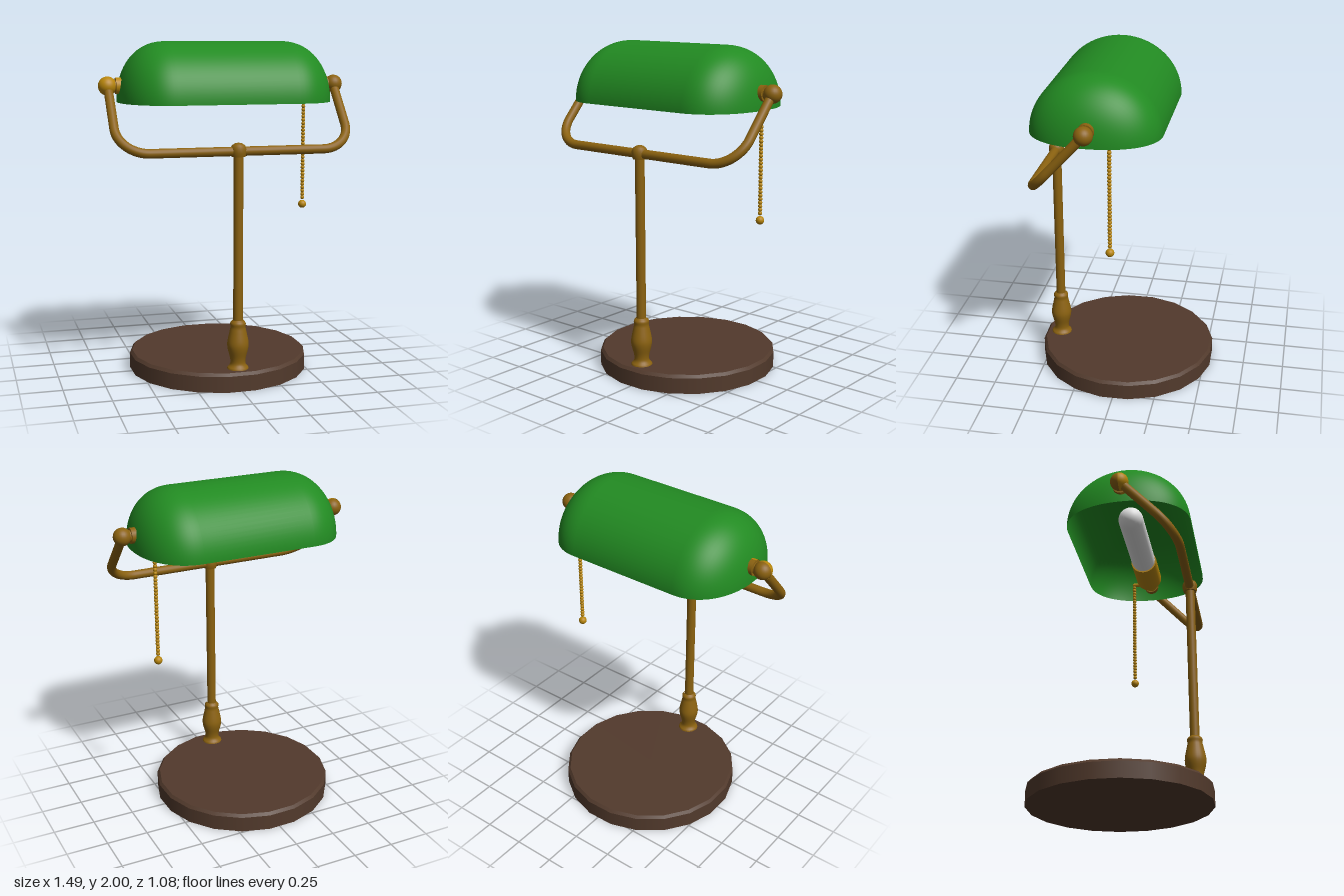
import * as THREE from 'three';

const mat = (name, color, side = THREE.FrontSide) => {
  const m = new THREE.MeshStandardMaterial({ color, side });
  m.name = name;
  return m;
};
const V2 = (x, y) => new THREE.Vector2(x, y);
const V3 = (x, y, z) => new THREE.Vector3(x, y, z);

export function createModel() {
  const model = new THREE.Group();
  model.name = 'deskLamp';
  const wood = mat('dark wood', 0x523a2c);
  const brass = mat('brass', 0x8b6210);
  const lightBrass = mat('light brass', 0xb8860b, THREE.DoubleSide);
  const green = mat('green glass', 0x228b22, THREE.DoubleSide);
  const white = mat('white bulb', 0xe6e6e6);

  const add = (name, geo, material, x = 0, y = 0, z = 0) => {
    const mesh = new THREE.Mesh(geo, material);
    mesh.name = name;
    mesh.position.set(x, y, z);
    model.add(mesh);
    return mesh;
  };
  // lathe from [radius, height] pairs
  const lathe = (pts, sides, start = 0) =>
    new THREE.LatheGeometry(pts.map(p => V2(p[0], p[1])), sides, start);

  const stemZ = 0.44, barY = 1.385;      // stem and yoke bar
  const pivotY = 1.746, pivotZ = 0.114;  // shade pivots
  const rimY = 1.65;

  // Round base: 20 sides with a small bevel; doubled points keep the edges crisp
  add('base', lathe([
    [0, 0], [0.545, 0], [0.545, 0], [0.545, 0.095], [0.545, 0.095],
    [0.53, 0.112], [0.53, 0.112], [0, 0.112],
  ], 20, THREE.MathUtils.degToRad(10)), wood, -0.008);

  // Turned foot and stem
  const turned = new THREE.SplineCurve([
    V2(0.062, 0.118), V2(0.045, 0.14), V2(0.046, 0.175), V2(0.06, 0.23), V2(0.062, 0.27),
    V2(0.05, 0.33), V2(0.044, 0.36), V2(0.045, 0.385), V2(0.03, 0.402),
  ]).getPoints(32);
  add('turnedFoot', new THREE.LatheGeometry([V2(0.064, 0.108), ...turned], 24), brass, 0, 0, stemZ);
  add('stem', new THREE.CylinderGeometry(0.028, 0.028, 1.0, 20), brass, 0, 0.88, stemZ);
  add('stemCollar', lathe([
    [0.028, -0.03], [0.04, -0.03], [0.04, -0.03], [0.045, -0.01], [0.046, 0.015],
    [0.038, 0.034], [0.02, 0.046], [0, 0.049],
  ], 20), brass, 0, barY, stemZ);

  // Tilted yoke: bar with rounded corners and two arms reaching back to the pivots
  const armX = 0.688, bend = 0.18;
  const armLen = Math.hypot(pivotY - barY, stemZ - pivotZ);
  const P = (x, d) => V3(x, barY + (pivotY - barY) * d / armLen, stemZ + (pivotZ - stemZ) * d / armLen);
  const k = bend * 0.448, inner = armX - bend;
  const path = new THREE.CurvePath();
  path.add(new THREE.LineCurve3(P(-armX, armLen), P(-armX, bend)));
  path.add(new THREE.CubicBezierCurve3(P(-armX, bend), P(-armX, k), P(-armX + k, 0), P(-inner, 0)));
  path.add(new THREE.LineCurve3(P(-inner, 0), P(inner, 0)));
  path.add(new THREE.CubicBezierCurve3(P(inner, 0), P(armX - k, 0), P(armX, k), P(armX, bend)));
  path.add(new THREE.LineCurve3(P(armX, bend), P(armX, armLen)));
  add('yoke', new THREE.TubeGeometry(path, 120, 0.027, 16), brass);

  // Pivot knobs, necks and collars
  for (const s of [-1, 1]) {
    add('pivotKnob', new THREE.SphereGeometry(0.053, 24, 16), brass, s * 0.69, pivotY, pivotZ);
    add('pivotNeck', new THREE.CylinderGeometry(0.035, 0.035, 0.07, 20).rotateZ(Math.PI / 2),
      brass, s * 0.645, pivotY, pivotZ);
    add('pivotCollar', new THREE.CylinderGeometry(0.046, 0.046, 0.045, 20).rotateZ(Math.PI / 2),
      brass, s * 0.622, pivotY, pivotZ);
  }
  // Lighter front half of the right knob and collar
  add('knobFace', new THREE.SphereGeometry(0.0545, 24, 16, 0, Math.PI), lightBrass, -0.69, pivotY, pivotZ);
  add('collarFace', new THREE.CylinderGeometry(0.0475, 0.0475, 0.045, 16, 1, true, -Math.PI / 2, Math.PI)
    .rotateZ(Math.PI / 2), lightBrass, -0.622, pivotY, pivotZ);

  // Shade: half a revolution around the x axis, with rounded ends
  const end = [], n = 20, e = 2 / 2.2;
  for (let i = 0; i <= n; i++) {
    const t = i / n * Math.PI / 2;
    end.push(V2(Math.sin(t) ** e, 0.35 + 0.28 * Math.max(Math.cos(t), 0) ** e));
  }
  const profile = [...end.map(p => V2(p.x, -p.y)), ...end.slice().reverse()];
  add('shade', new THREE.LatheGeometry(profile, 40, -Math.PI / 2, Math.PI)
    .rotateX(-Math.PI / 2).rotateY(Math.PI / 2).scale(1, 0.35, 0.378), green, 0, rimY, pivotZ);

  // Socket and tubular bulb under the shade
  add('socket', lathe([
    [0, -0.6], [0.04, -0.6], [0.04, -0.53], [0.04, -0.53], [0.075, -0.52], [0.083, -0.5],
    [0.083, -0.5], [0.083, -0.25], [0.083, -0.25], [0, -0.25],
  ], 24).rotateZ(Math.PI / 2), lightBrass, 0, pivotY, pivotZ);
  add('bulb', new THREE.CapsuleGeometry(0.077, 0.5, 10, 24).rotateZ(Math.PI / 2),
    white, -0.02, pivotY, pivotZ);

  // Pull chain of beads
  const chainX = 0.54, chainZ = 0.005;
  add('chainArm', new THREE.CylinderGeometry(0.012, 0.012, 0.1, 10).rotateX(Math.PI / 2),
    lightBrass, chainX, 1.73, 0.05);
  const bead = new THREE.SphereGeometry(0.0125, 10, 8);
  for (let y = 1.73; y > 1.02; y -= 0.021) add('chainBead', bead, lightBrass, chainX, y, chainZ);
  add('chainPull', new THREE.SphereGeometry(0.025, 16, 12), lightBrass, chainX, 0.995, chainZ);

  return model;
}
